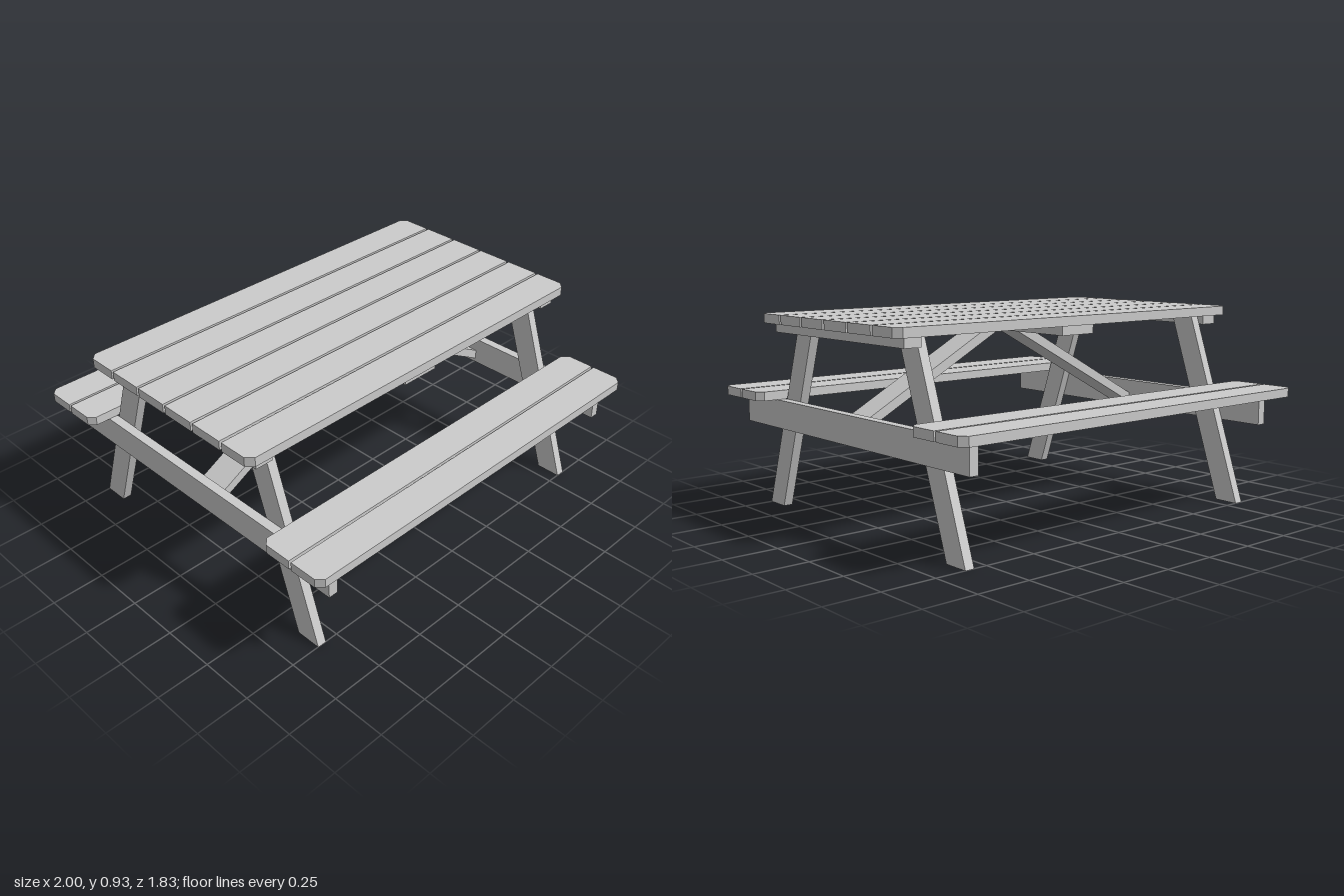
import * as THREE from 'three';

const wood = new THREE.MeshStandardMaterial({ color: 0xcccccc, flatShading: true });

function add(group, name, geometry) {
  const mesh = new THREE.Mesh(geometry, wood);
  mesh.name = name;
  group.add(mesh);
  return mesh;
}

// Box given by its extents on each axis
function block(group, name, [x0, x1], [y0, y1], [z0, z1]) {
  const g = new THREE.BoxGeometry(x1 - x0, y1 - y0, z1 - z0);
  g.translate((x0 + x1) / 2, (y0 + y1) / 2, (z0 + z1) / 2);
  return add(group, name, g);
}

// Straight-sided prism: outline points extruded along +z
function prism(points, depth) {
  const shape = new THREE.Shape(points.map(([x, y]) => new THREE.Vector2(x, y)));
  return new THREE.ExtrudeGeometry(shape, { depth, bevelEnabled: false });
}

// Full-length board with optional clipped corners on its back and front edges
function plank(group, name, z0, z1, y0, y1, clipBack, clipFront) {
  const c = 0.03, b = clipBack ? c : 0, f = clipFront ? c : 0;
  const pts = [[-1 + f, -z1], [1 - f, -z1]];
  if (f) pts.push([1, -z1 + f]);
  if (b) pts.push([1, -z0 - b]);
  pts.push([1 - b, -z0], [-1 + b, -z0]);
  if (b) pts.push([-1, -z0 - b]);
  if (f) pts.push([-1, -z1 + f]);
  const g = prism(pts, y1 - y0);
  g.rotateX(-Math.PI / 2);
  g.translate(0, y0, 0);
  add(group, name, g);
}

export function createModel() {
  const table = new THREE.Group();
  table.name = 'picnicTable';

  // Table top: six boards, outer ones with clipped corners
  const top = new THREE.Group();
  top.name = 'tableTop';
  const pitch = 0.178, width = 0.165;
  for (let i = 0; i < 6; i++) {
    const z = -0.518 + i * pitch;
    plank(top, 'topPlank', z, z + width, 0.89, 0.933, i === 0, i === 5);
  }
  table.add(top);

  // Two benches of two boards each
  for (const [name, z] of [['frontBench', 0.583], ['backBench', -0.918]]) {
    const bench = new THREE.Group();
    bench.name = name;
    plank(bench, 'benchPlank', z, z + 0.16, 0.523, 0.565, true, false);
    plank(bench, 'benchPlank', z + 0.172, z + 0.333, 0.523, 0.565, false, true);
    table.add(bench);
  }

  // Cleat under the middle of the top
  block(table, 'middleCleat', [-0.095, 0.095], [0.846, 0.89], [-0.485, 0.506]);

  for (const s of [1, -1]) {
    const side = new THREE.Group();
    side.name = s > 0 ? 'leftFrame' : 'rightFrame';
    const span = (a, b) => (s > 0 ? [a, b] : [-b, -a]);

    // End cleat and seat beam
    block(side, 'endCleat', span(0.858, 0.943), [0.846, 0.89], [-0.485, 0.506]);
    block(side, 'seatBeam', span(0.858, 0.902), [0.39, 0.523], [-0.835, 0.865]);

    // Splayed legs, cut level at both ends
    for (const d of [1, -1]) {
      const g = prism([[0.632, 0], [0.752, 0], [0.446, 0.89], [0.326, 0.89]], 0.044);
      g.rotateY(-Math.PI / 2);
      if (d < 0) g.rotateY(Math.PI);
      g.translate(s * 0.836 + d * 0.022, 0, 0);
      add(side, d > 0 ? 'frontLeg' : 'backLeg', g);
    }

    // Diagonal brace from the middle cleat down to the seat beam
    const pts = [[0.065, 0.83], [0.858, 0.41], [0.858, 0.457], [0.095, 0.865], [0.065, 0.865]];
    add(side, 'brace', prism(pts.map(([x, y]) => [s * x, y]), 0.143));
    table.add(side);
  }
  return table;
}
